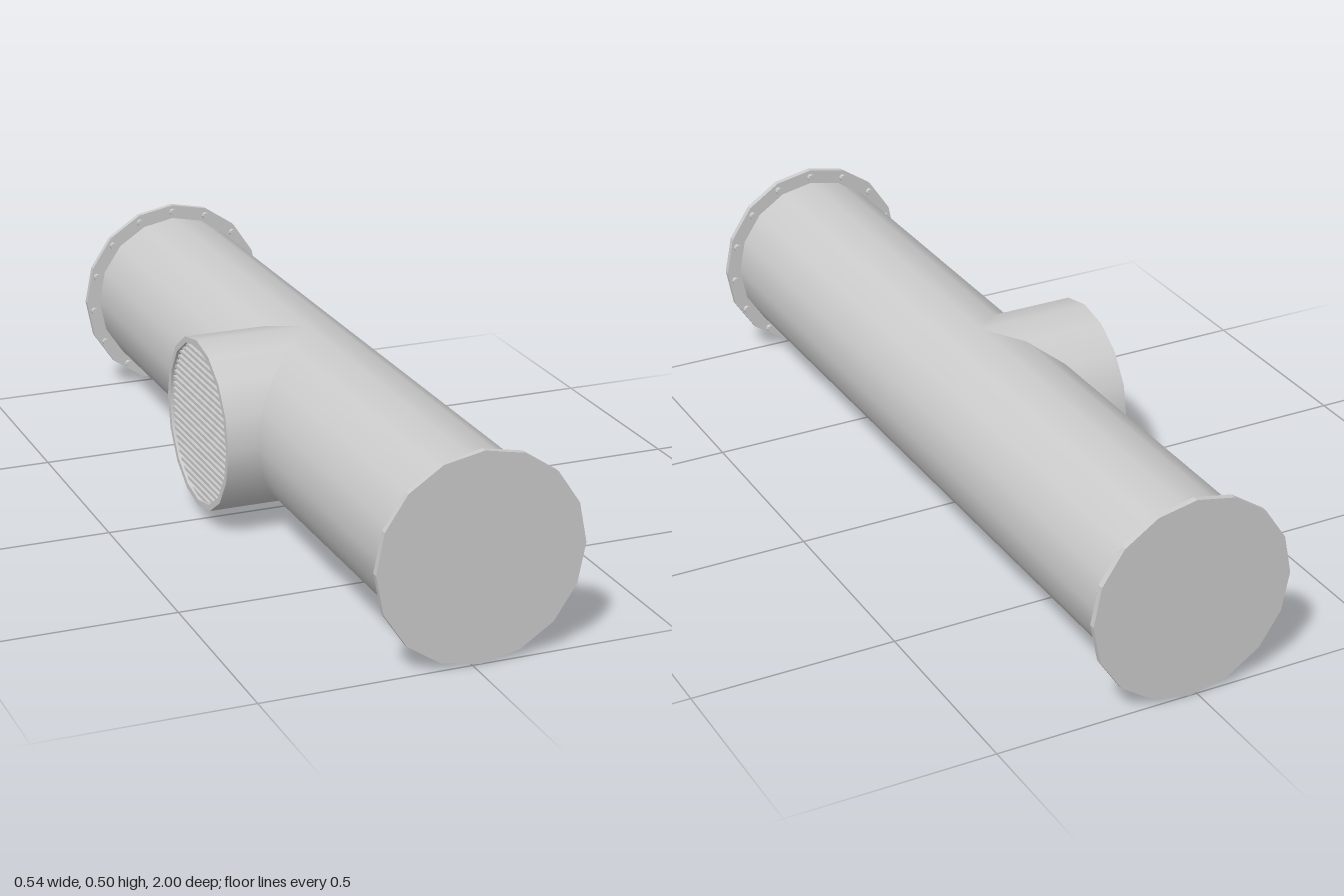
import * as THREE from 'three';

const SIDES = 16;
const R = 0.213;          // pipe and branch radius
const FLANGE_R = 0.249;
const FLANGE_T = 0.015;
const CX = 0.018, CY = 0.25;

export function createModel() {
  const group = new THREE.Group();
  const smooth = new THREE.MeshStandardMaterial({ color: 0xcccccc });
  const flat = new THREE.MeshStandardMaterial({ color: 0xcccccc, flatShading: true });

  const add = (parent, name, geometry, material) => {
    const mesh = new THREE.Mesh(geometry, material);
    mesh.name = name;
    parent.add(mesh);
    return mesh;
  };

  // Main pipe along z
  const pipe = add(group, 'mainPipe', new THREE.CylinderGeometry(R, R, 1.99, SIDES, 1, true).rotateX(Math.PI / 2), smooth);
  pipe.position.set(CX, CY, 0);

  // Closed end flanges, each with a ring of bolts on the inner face
  for (const side of [1, -1]) {
    const end = new THREE.Group();
    end.name = side > 0 ? 'frontFlange' : 'backFlange';
    end.position.set(CX, CY, 0);
    const plate = add(end, 'flangePlate', new THREE.CylinderGeometry(FLANGE_R, FLANGE_R, FLANGE_T, SIDES).rotateX(Math.PI / 2), flat);
    plate.position.z = side * (1 - FLANGE_T / 2);
    const boltGeometry = new THREE.CylinderGeometry(0.009, 0.009, 0.012, 8).rotateX(Math.PI / 2);
    for (let i = 0; i < 15; i++) {
      const a = Math.PI / 2 + (i / 15) * Math.PI * 2;
      const bolt = add(end, 'bolt', boltGeometry, flat);
      bolt.position.set(0.231 * Math.cos(a), 0.231 * Math.sin(a), side * (1 - FLANGE_T - 0.005));
    }
    group.add(end);
  }

  // Side branch towards -x, opening with a rim; local y runs outward
  const branch = new THREE.Group();
  branch.name = 'sideBranch';
  branch.position.set(CX, CY, 0);
  branch.rotation.z = Math.PI / 2;
  const L = 0.288, inner = 0.198, recess = 0.016;
  add(branch, 'branchPipe', new THREE.CylinderGeometry(R, R, L, SIDES, 1, true).translate(0, L / 2, 0), smooth);
  add(branch, 'branchRim', new THREE.RingGeometry(inner, R, SIDES).rotateX(-Math.PI / 2).translate(0, L, 0), flat);
  const wall = smooth.clone();
  wall.side = THREE.BackSide;
  add(branch, 'branchInnerWall', new THREE.CylinderGeometry(inner, inner, recess, SIDES, 1, true).translate(0, L - recess / 2, 0), wall);
  add(branch, 'grilleBack', new THREE.CircleGeometry(inner, SIDES).rotateX(-Math.PI / 2).translate(0, L - recess, 0), flat);

  // Horizontal grille slats across the opening
  const count = 24, pitch = (2 * inner) / count;
  for (let i = 0; i < count; i++) {
    const h = -inner + (i + 0.5) * pitch;
    const width = 2 * Math.sqrt(inner * inner - h * h) * 0.98;
    const slat = add(branch, 'grilleSlat', new THREE.BoxGeometry(pitch * 0.5, 0.01, width), flat);
    slat.position.set(h, L - recess + 0.005, 0);
  }
  group.add(branch);

  return group;
}
